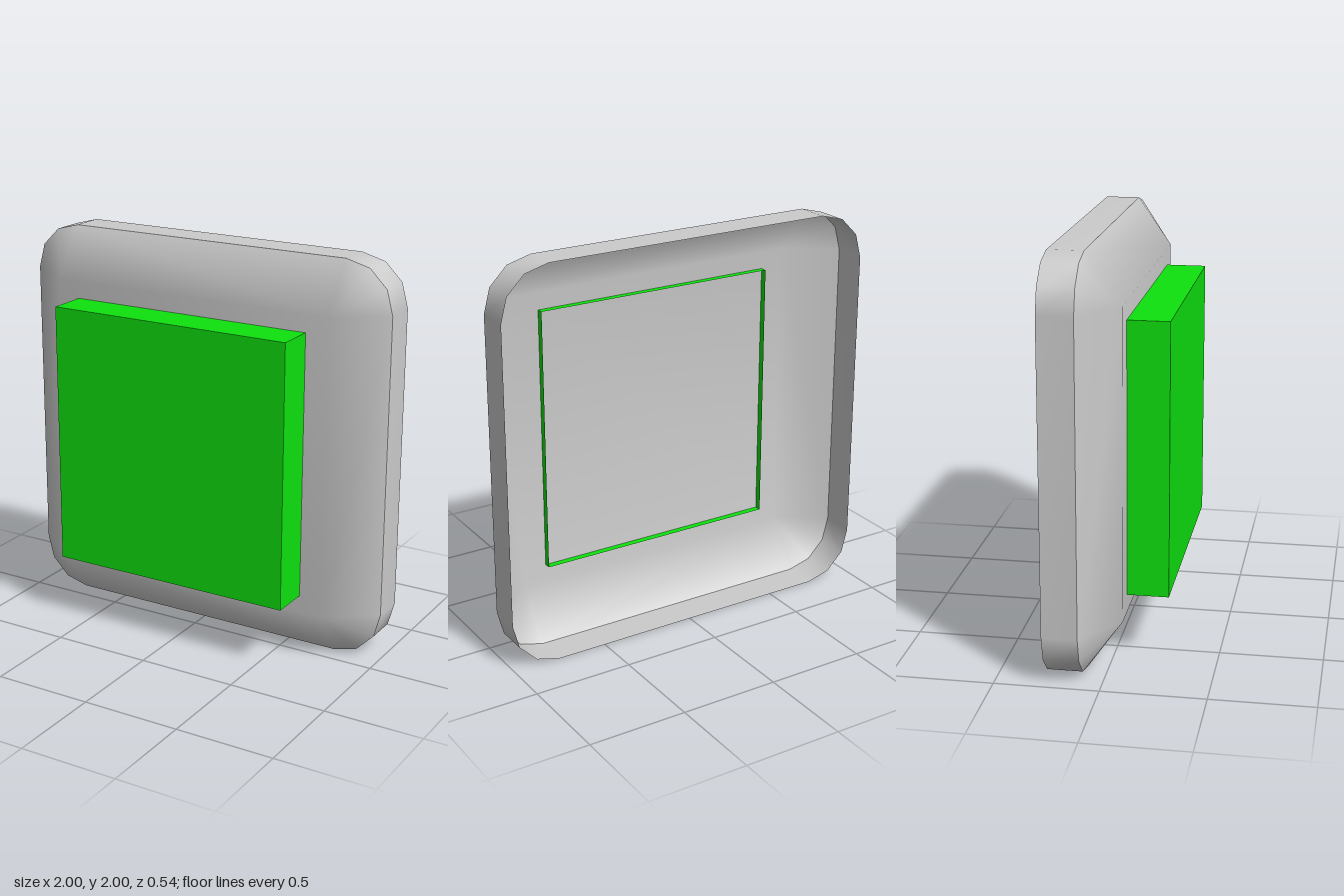
import * as THREE from 'three';

const grey = new THREE.MeshStandardMaterial({ color: 0xcccccc, side: THREE.DoubleSide });
const green = new THREE.MeshStandardMaterial({ color: 0x0fe20f, side: THREE.DoubleSide });

const INNER = 0.755, RADIUS = 0.245, STEPS = 3;
const Z_BACK = -0.27, Z_CREASE = -0.1, Z_FACE = 0.07;

// Outline of the rounded square, counter-clockwise seen from the front
function outline() {
  const points = [];
  for (let k = 0; k < 4; k++) {
    const mid = Math.PI / 4 + k * Math.PI / 2;
    const cx = INNER * Math.sign(Math.cos(mid)), cy = INNER * Math.sign(Math.sin(mid));
    for (let j = 0; j <= STEPS; j++) {
      const a = (k + j / STEPS) * Math.PI / 2;
      points.push([cx + RADIUS * Math.cos(a), cy + RADIUS * Math.sin(a)]);
    }
  }
  return points;
}

function smoothGeometry(positions, index) {
  const geometry = new THREE.BufferGeometry();
  geometry.setAttribute('position', new THREE.Float32BufferAttribute(positions, 3));
  geometry.setIndex(index);
  geometry.computeVertexNormals();
  return geometry;
}

// Square front face blending smoothly into the sloped border
function panelGeometry(points) {
  const n = points.length, per = STEPS + 1;
  const positions = points.flatMap(([x, y]) => [x, y, Z_CREASE]);
  for (const [sx, sy] of [[1, 1], [-1, 1], [-1, -1], [1, -1]]) positions.push(sx * INNER, sy * INNER, Z_FACE);
  const index = [n, n + 1, n + 2, n, n + 2, n + 3];
  for (let k = 0; k < 4; k++) {
    const corner = n + k, nextCorner = n + (k + 1) % 4;
    for (let j = 0; j < STEPS; j++) index.push(corner, k * per + j, k * per + j + 1);
    const end = k * per + STEPS, start = (end + 1) % n;
    index.push(corner, end, start, corner, start, nextCorner);
  }
  return smoothGeometry(positions, index);
}

// Straight wall around the open back
function rimGeometry(points) {
  const n = points.length;
  const positions = [Z_CREASE, Z_BACK].flatMap(z => points.flatMap(([x, y]) => [x, y, z]));
  const index = [];
  for (let i = 0; i < n; i++) {
    const j = (i + 1) % n;
    index.push(i, n + i, n + j, i, n + j, j);
  }
  return smoothGeometry(positions, index);
}

export function createModel() {
  const group = new THREE.Group();
  const add = (name, geometry, material) => {
    const mesh = new THREE.Mesh(geometry, material);
    mesh.name = name;
    mesh.position.y = 1;
    group.add(mesh);
    return mesh;
  };

  const points = outline();
  add('panel', panelGeometry(points), grey);
  add('rim', rimGeometry(points), grey);

  // Button block without a back face; its walls poke through the panel
  const front = 0.27, back = 0.035;
  const box = new THREE.BoxGeometry(1.28, 1.335, front - back);
  box.setIndex(Array.from(box.index.array).slice(0, 30));
  box.clearGroups();
  add('button', box, green).position.z = (front + back) / 2;

  return group;
}
